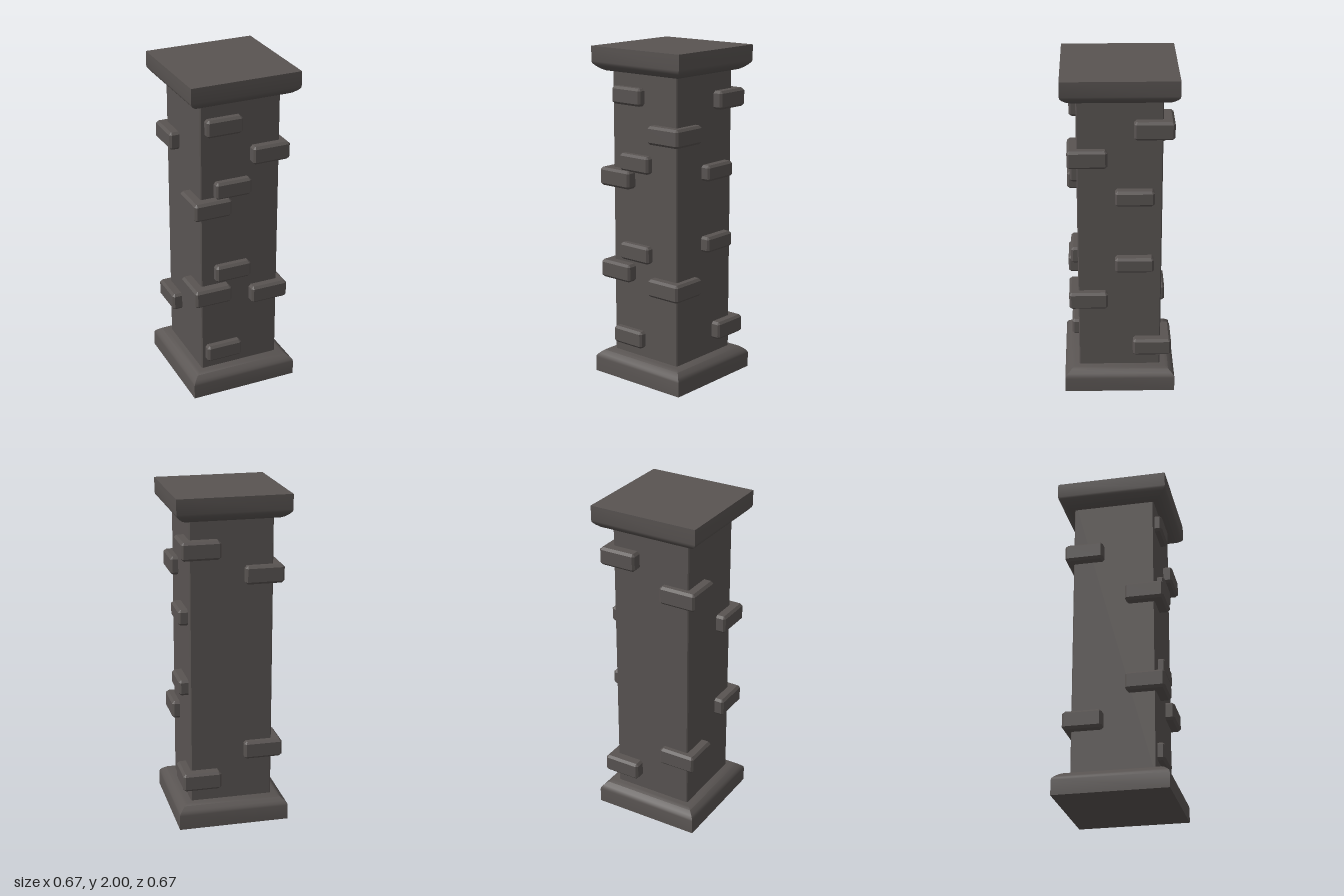
import * as THREE from 'three';
import { toCreasedNormals } from 'three/addons/utils/BufferGeometryUtils.js';

const stone = new THREE.MeshStandardMaterial({ color: 0x595452 });
stone.name = 'dark stone';

// Upright prism over an [x, z] outline, with its corners cut and its rims bevelled
function prism(outline, y0, y1, cut, bevel) {
  const corners = outline.map(([x, z]) => new THREE.Vector2(x, -z));
  const n = corners.length;
  const points = corners.flatMap((p, i) =>
    [corners[(i + n - 1) % n], corners[(i + 1) % n]].map((q) =>
      p.clone().add(q.clone().sub(p).setLength(cut))));
  const geometry = new THREE.ExtrudeGeometry(new THREE.Shape(points), {
    depth: y1 - y0 - 2 * bevel,
    bevelEnabled: bevel > 0,
    bevelThickness: bevel,
    bevelSize: bevel,
    bevelOffset: -bevel,
    bevelSegments: 1,
  });
  return geometry.rotateX(-Math.PI / 2).translate(0, y0 + bevel, 0);
}

const rectangle = (x0, x1, z0, z1) => [[x0, z0], [x1, z0], [x1, z1], [x0, z1]];

// Square slab swept from a profile of [half width, y], listed from bottom to top
function squareLathe(profile) {
  const points = profile.map(([w, y]) => new THREE.Vector2(w * Math.SQRT2, y));
  const geometry = new THREE.LatheGeometry(points, 4).rotateY(Math.PI / 4);
  return toCreasedNormals(geometry, 0.7);
}

export function createModel() {
  const group = new THREE.Group();
  const add = (name, geometry) => {
    const mesh = new THREE.Mesh(geometry, stone);
    mesh.name = name;
    group.add(mesh);
  };

  // Shaft
  add('shaft', prism(rectangle(-0.246, 0.246, -0.246, 0.246), 0.1, 1.9, 0.006, 0));

  // Capital and its mirrored plinth
  const capital = [[0, 1.857], [0.275, 1.857], [0.295, 1.867], [0.318, 1.886],
    [0.33, 1.9], [0.333, 1.912], [0.333, 2], [0, 2]];
  add('capital', squareLathe(capital));
  add('plinth', squareLathe(capital.map(([w, y]) => [w, 2 - y]).reverse()));

  // Flat bricks on the front: [x start, x end, centre height]
  for (const [x0, x1, y] of [[-0.22, 0, 1.722], [-0.165, 0.057, 1.332],
    [-0.165, 0.057, 0.792], [-0.222, 0, 0.254]]) {
    add('frontBrick', prism(rectangle(x0, x1, 0.2, 0.29), y - 0.052, y + 0.052, 0.012, 0.014));
  }

  // Flat bricks on the +x side
  for (const y of [1.278, 0.848]) {
    add('sideBrick', prism(rectangle(0.2, 0.302, -0.2, 0.027), y - 0.047, y + 0.047, 0.012, 0.014));
  }

  // L-shaped bricks wrapped round the corners: [outer x, outer z, centre heights]
  const arm = 0.23;
  const depth = 0.1;
  for (const [x, z, heights] of [[0.292, 0.3, [1.517, 0.606]], [-0.305, 0.308, [1.23, 0.661]],
    [0.302, -0.31, [1.693, 0.285]], [-0.305, -0.287, [1.53, 0.45]]]) {
    const sx = Math.sign(x);
    const sz = Math.sign(z);
    const outline = [[x, z], [x, z - sz * arm], [x - sx * depth, z - sz * arm],
      [x - sx * depth, z - sz * depth], [x - sx * arm, z - sz * depth], [x - sx * arm, z]];
    for (const y of heights) {
      add('cornerBrick', prism(outline, y - 0.054, y + 0.054, 0.012, 0.014));
    }
  }

  return group;
}
